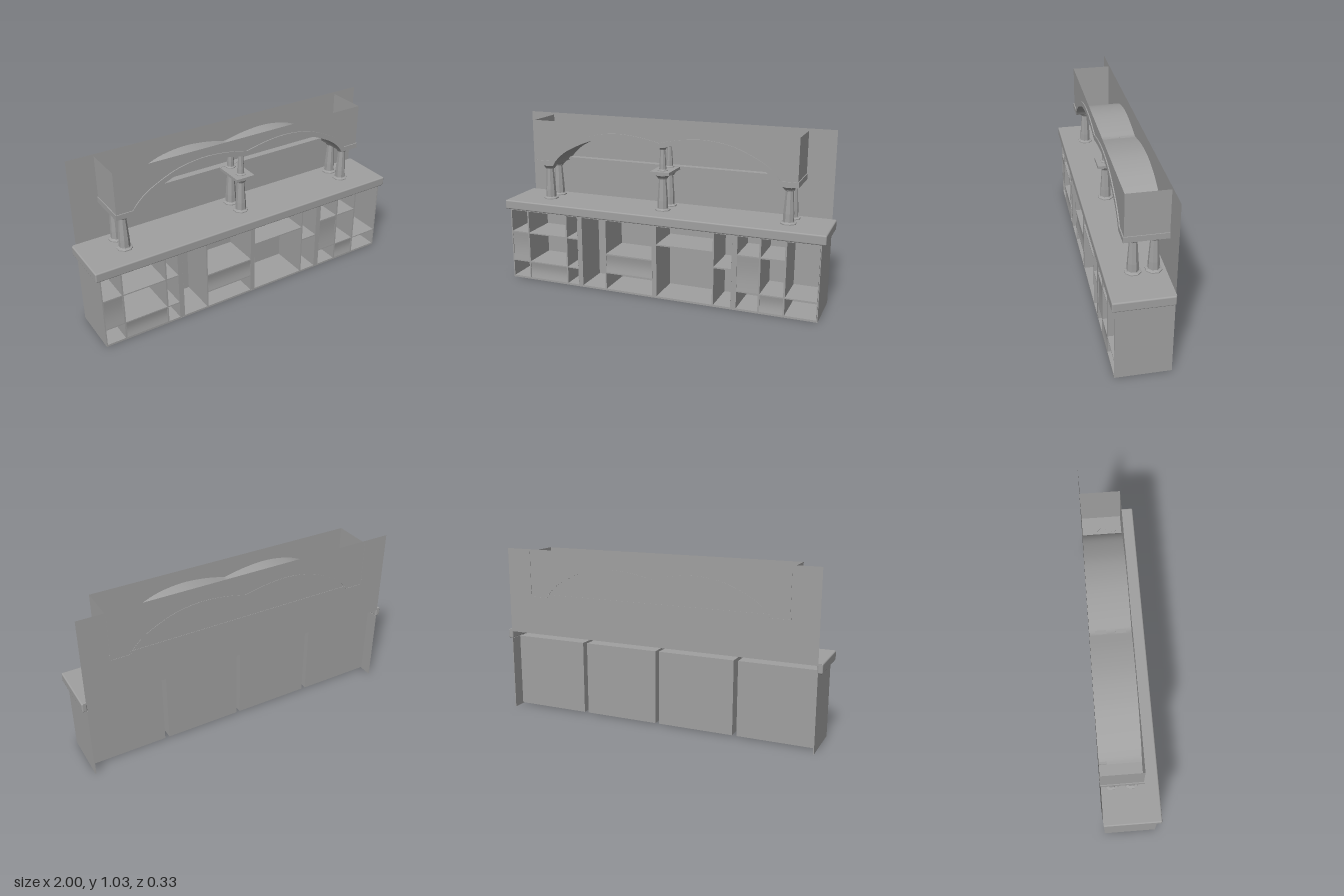
import * as THREE from 'three';
import { toCreasedNormals } from 'three/addons/utils/BufferGeometryUtils.js';
import { RoundedBoxGeometry } from 'three/addons/geometries/RoundedBoxGeometry.js';

const GREY = 0xa0a0a0;
const smooth = new THREE.MeshStandardMaterial({ color: GREY });
const flat = new THREE.MeshStandardMaterial({ color: GREY, flatShading: true });
const thin = new THREE.MeshStandardMaterial({ color: GREY, side: THREE.DoubleSide });

const V = (x, y) => new THREE.Vector2(x, y);

function add(parent, name, geometry, material = smooth) {
  const mesh = new THREE.Mesh(geometry, material);
  mesh.name = name;
  parent.add(mesh);
  return mesh;
}

// Box given by its limits, with rounded edges if a radius is given
function box(parent, name, x0, x1, y0, y1, z0, z1, radius = 0) {
  const size = [x1 - x0, y1 - y0, z1 - z0];
  const geometry = radius ? new RoundedBoxGeometry(...size, 3, radius) : new THREE.BoxGeometry(...size);
  const mesh = add(parent, name, geometry);
  mesh.position.set((x0 + x1) / 2, (y0 + y1) / 2, (z0 + z1) / 2);
}

function rectPoints(x0, x1, y0, y1) {
  return [V(x0, y0), V(x1, y0), V(x1, y1), V(x0, y1)];
}

const FRONT = 0.147, BACK = -0.163, UNIT_BACK = -0.087;
const LOW = [0.012, 0.113], TOP = 0.447;

// Drawer or door front, flush at its edges and slightly hollowed
function hollowedFront(parent, name, [x0, x1, y0, y1]) {
  const profile = [V(-0.115, y0), V(-0.115, y1)];
  for (let i = 0; i <= 10; i++) {
    const t = i / 10;
    profile.push(V(-FRONT + 0.006 * Math.sin(Math.PI * t), y1 + (y0 - y1) * t));
  }
  const geometry = new THREE.ExtrudeGeometry(new THREE.Shape(profile), { depth: x1 - x0, bevelEnabled: false });
  geometry.rotateY(Math.PI / 2); // profile x becomes -z, depth becomes x
  geometry.translate(x0, 0, 0);
  add(parent, name, toCreasedNormals(geometry, 0.5));
}

// Cells of each cabinet unit: x0, x1, y0, y1, optional front
const units = [
  [
    [-0.968, -0.857, 0.31, TOP], [-0.968, -0.857, 0.12, 0.303, 'door'], [-0.968, -0.857, ...LOW],
    [-0.847, -0.589, 0.31, TOP], [-0.847, -0.589, 0.12, 0.303], [-0.847, -0.589, ...LOW, 'drawer'],
    [-0.58, -0.508, 0.31, TOP], [-0.58, -0.508, 0.12, 0.303], [-0.58, -0.508, ...LOW],
  ],
  [
    [-0.476, -0.323, 0.012, TOP],
    [-0.315, -0.016, 0.238, TOP], [-0.315, -0.016, 0.12, 0.23, 'drawer'], [-0.315, -0.016, ...LOW],
  ],
  [
    [0.013, 0.36, 0.338, TOP], [0.013, 0.36, 0.012, 0.33],
    [0.368, 0.472, 0.247, TOP], [0.368, 0.472, 0.012, 0.238],
  ],
  [
    [0.505, 0.632, 0.338, TOP], [0.505, 0.632, 0.12, 0.33, 'door'], [0.505, 0.632, ...LOW],
    [0.642, 0.777, 0.338, TOP], [0.642, 0.777, 0.12, 0.33], [0.642, 0.777, ...LOW, 'drawer'],
    [0.787, 0.966, 0.12, TOP], [0.787, 0.966, ...LOW],
  ],
];

function buildCabinet() {
  const cabinet = new THREE.Group();
  cabinet.name = 'cabinet';
  for (const cells of units) {
    // Partitions and shelves, as one block pierced by the cells
    const x0 = cells[0][0] - 0.003;
    const x1 = cells[cells.length - 1][1] + 0.003;
    const shape = new THREE.Shape(rectPoints(x0, x1, 0.006, 0.455));
    for (const cell of cells) {
      shape.holes.push(new THREE.Path(rectPoints(...cell.slice(0, 4)).reverse()));
      if (cell[4]) hollowedFront(cabinet, cell[4], cell);
    }
    const z0 = UNIT_BACK + 0.006;
    const geometry = new THREE.ExtrudeGeometry(shape, { depth: FRONT - z0, bevelEnabled: false });
    geometry.translate(0, 0, z0);
    add(cabinet, 'shelfUnit', geometry);
    box(cabinet, 'unitBackPanel', x0, x1, 0.006, 0.455, UNIT_BACK, z0);
  }
  // Front stiles filling the gaps, bottom rail and side walls
  for (const x of [-0.492, -0.0015, 0.4885]) {
    box(cabinet, 'stile', x - 0.0135, x + 0.0135, 0, 0.455, 0.135, FRONT - 0.0005);
  }
  box(cabinet, 'bottomRail', -0.975, 0.975, 0, 0.006, 0.135, FRONT);
  for (const s of [-1, 1]) {
    box(cabinet, 'sideWall', s * 0.9725 - 0.0025, s * 0.9725 + 0.0025, 0, 0.456, BACK, FRONT);
  }
  return cabinet;
}

// Thin top with a rounded rim at the front and sides, open at the back
function buildCountertop() {
  const counter = new THREE.Group();
  counter.name = 'countertop';
  box(counter, 'counterSlab', -0.992, 0.992, 0.5, 0.512, BACK, 0.157);
  box(counter, 'frontRim', -1, 1, 0.455, 0.512, 0.135, 0.165, 0.008);
  for (const s of [-1, 1]) {
    box(counter, 'sideRim', s * 0.985 - 0.015, s * 0.985 + 0.015, 0.455, 0.512, BACK, 0.165, 0.008);
  }
  return counter;
}

// Eight-sided tapering column with base plate and flared capital
function column(parent, x, y, z, scale) {
  const profile = [
    [0, 0], [0.046, 0], [0.046, 0.006], [0.035, 0.009], [0.032, 0.013], [0.031, 0.06], [0.022, 0.19],
    [0.028, 0.192], [0.031, 0.199], [0.044, 0.213], [0.05, 0.216], [0.05, 0.224], [0, 0.224],
  ].map(([r, h]) => V(r, h));
  const mesh = add(parent, 'column', new THREE.LatheGeometry(profile, 8, Math.PI / 8), flat);
  mesh.position.set(x, y, z);
  mesh.scale.setScalar(scale);
}

// Double arch line, left to right, with flat feet at the ends
function archLine() {
  const half = new THREE.SplineCurve([
    V(-0.7, 0.735), V(-0.674, 0.774), V(-0.604, 0.833), V(-0.47, 0.897),
    V(-0.364, 0.924), V(-0.25, 0.933), V(-0.12, 0.921), V(0, 0.896),
  ]).getPoints(28);
  const left = [V(-0.815, 0.735), ...half];
  const right = left.slice(0, -1).reverse().map(p => V(-p.x, p.y));
  return [...left, ...right];
}

function buildCanopy() {
  const canopy = new THREE.Group();
  canopy.name = 'canopy';
  const line = archLine();
  const z0 = -0.165, z1 = 0.07, top = 1.013, foot = 0.735;

  // Front board with the arches cut out below
  const board = new THREE.Shape([...line, V(0.815, top), V(-0.815, top)]);
  const boardGeometry = new THREE.ShapeGeometry(board);
  boardGeometry.translate(0, 0, z1);
  add(canopy, 'frontBoard', boardGeometry, thin);

  // Soffit swept from the front board to the wall
  const positions = [], index = [];
  line.forEach((p, i) => {
    positions.push(p.x, p.y, z1, p.x, p.y, z0);
    if (i) {
      const a = 2 * i - 2;
      index.push(a, a + 1, a + 2, a + 1, a + 3, a + 2);
    }
  });
  const soffit = new THREE.BufferGeometry();
  soffit.setAttribute('position', new THREE.Float32BufferAttribute(positions, 3));
  soffit.setIndex(index);
  add(canopy, 'soffit', toCreasedNormals(soffit, 0.5), thin);

  // Moulding along the arches, offset square to the line
  const outer = line.map((p, i) => {
    const a = line[Math.max(i - 1, 0)], b = line[Math.min(i + 1, line.length - 1)];
    const t = b.clone().sub(a).normalize();
    return V(p.x - t.y * 0.03, p.y + t.x * 0.03);
  });
  const band = new THREE.Shape([...line, ...outer.reverse()]);
  const moulding = new THREE.ExtrudeGeometry(band, { depth: 0.006, bevelEnabled: false });
  moulding.translate(0, 0, z1);
  add(canopy, 'archMoulding', moulding);

  // Sides with their foot moulding
  for (const s of [-1, 1]) {
    const side = add(canopy, 'canopySide', new THREE.PlaneGeometry(z1 - z0, top - foot), thin);
    side.rotation.y = s * Math.PI / 2;
    side.position.set(s * 0.815, (top + foot) / 2, (z0 + z1) / 2);
    box(canopy, 'sideMoulding', s * 0.8175 - 0.0025, s * 0.8175 + 0.0025, foot, 0.768, z0 - 0.002, 0.076);
  }
  return canopy;
}

export function createModel() {
  const model = new THREE.Group();
  model.name = 'barCounter';
  model.add(buildCabinet(), buildCountertop(), buildCanopy());

  const wall = add(model, 'backWall', new THREE.PlaneGeometry(1.95, 0.521), thin);
  wall.position.set(0, 0.7655, BACK);

  // Column pairs, with a smaller pair standing on the middle shelf
  for (const z of [0.01, -0.1]) {
    for (const x of [-0.758, 0, 0.758]) column(model, x, 0.512, z, 1);
    column(model, 0, 0.753, z, 0.65);
  }
  box(model, 'wallShelf', -0.7, 0.7, 0.74, 0.755, -0.165, -0.12);
  box(model, 'middleShelf', -0.06, 0.06, 0.736, 0.753, -0.164, 0.065);
  return model;
}
